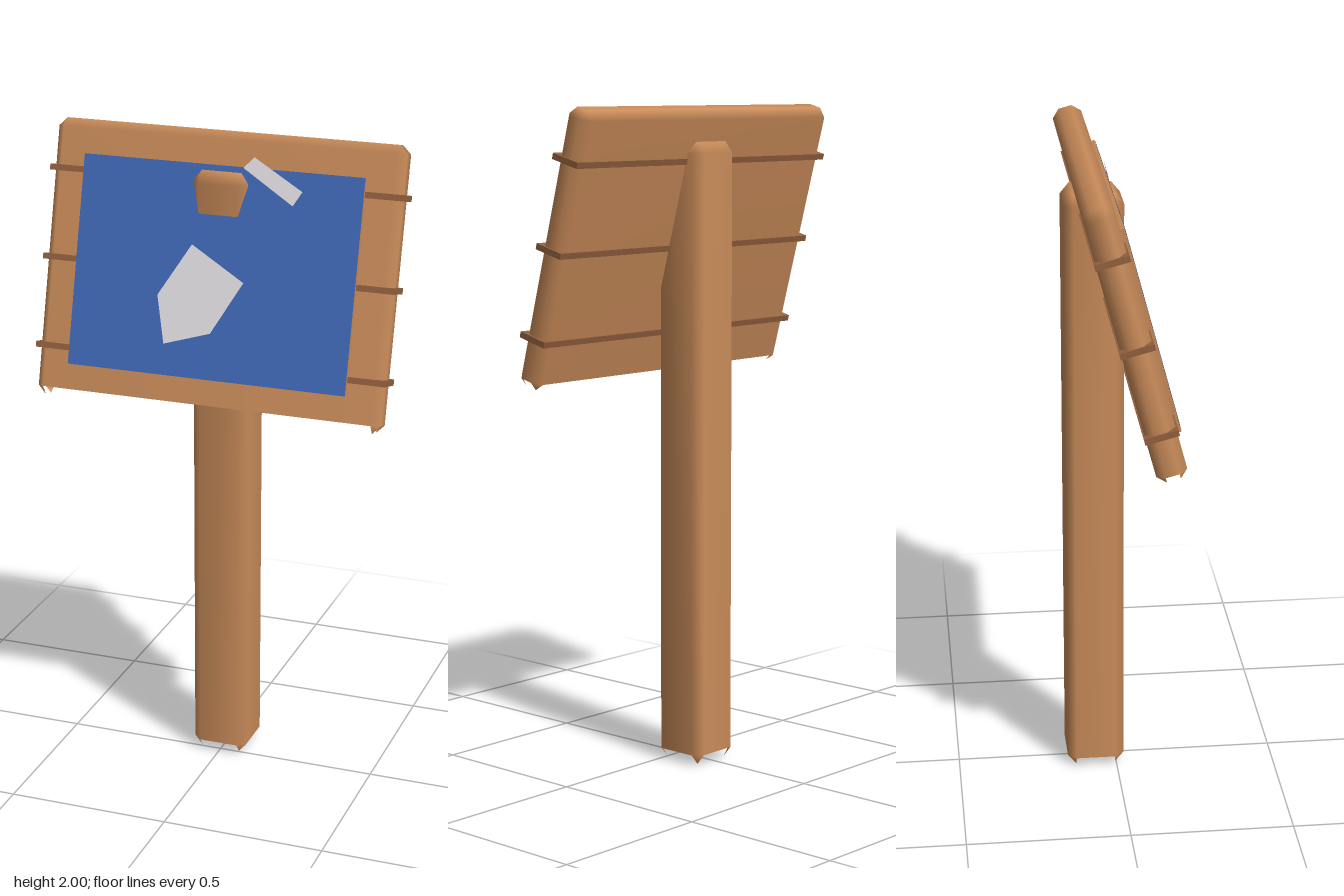
import * as THREE from 'three';

// Box with cut edges and shared vertices for soft shading; openBottom leaves out the underside
// but keeps the small corner triangles.
function bevelBox(hx, hy, hz, bevel, openBottom) {
  const half = [hx, hy, hz], pos = [], index = [];
  for (let o = 0; o < 8; o++) {
    for (let a = 0; a < 3; a++) {
      for (let k = 0; k < 3; k++) {
        pos.push((o >> k & 1 ? 1 : -1) * (k === a ? half[k] : half[k] - bevel[k]));
      }
    }
  }
  const point = (i) => new THREE.Vector3().fromArray(pos, i * 3);
  const tri = (a, b, c) => {
    const [p, q, r] = [a, b, c].map(point);
    const normal = q.clone().sub(p).cross(r.clone().sub(p));
    if (normal.dot(p.add(q).add(r)) < 0) index.push(a, c, b);
    else index.push(a, b, c);
  };
  const quad = (a, b, c, d) => { tri(a, b, c); tri(a, c, d); };
  for (let a = 0; a < 3; a++) {
    const b = (a + 1) % 3, c = (a + 2) % 3, B = 1 << b, C = 1 << c;
    // flat sides
    for (const s of [0, 1 << a]) {
      if (openBottom && a === 1 && s === 0) continue;
      quad(s * 3 + a, (s | B) * 3 + a, (s | B | C) * 3 + a, (s | C) * 3 + a);
    }
    // edge strips running along axis a
    for (const s of [0, B, C, B | C]) {
      if (openBottom && a !== 1 && !(s & 2)) continue;
      const e = s | (1 << a);
      quad(s * 3 + b, s * 3 + c, e * 3 + c, e * 3 + b);
    }
  }
  for (let o = 0; o < 8; o++) tri(o * 3, o * 3 + 1, o * 3 + 2);
  const geo = new THREE.BufferGeometry();
  geo.setAttribute('position', new THREE.Float32BufferAttribute(pos, 3));
  geo.setIndex(index);
  geo.computeVertexNormals();
  return geo;
}

function material(name, color) {
  const m = new THREE.MeshStandardMaterial({ color, side: THREE.DoubleSide });
  m.name = name;
  return m;
}

export function createModel() {
  const model = new THREE.Group();
  model.name = 'noticeBoard';
  const wood = material('wood', 0xc98b59);
  const darkWood = material('dark wood', 0x93613f);
  const blue = material('blue', 0x3f68b8);
  const white = material('paper white', 0xe4e2e6);

  function add(parent, name, geo, mat, x = 0, y = 0, z = 0) {
    const mesh = new THREE.Mesh(geo, mat);
    mesh.name = name;
    mesh.position.set(x, y, z);
    parent.add(mesh);
    return mesh;
  }

  // Upright post, pushed through the board near its top
  add(model, 'post', bevelBox(0.088, 0.947, 0.089, [0.027, 0.033, 0.027], true), wood, 0, 0.947, -0.066);

  // Board and everything on it lean back together
  const tilt = THREE.MathUtils.degToRad(15);
  const centreY = 1.59;
  const sign = new THREE.Group();
  sign.name = 'tiltedBoard';
  sign.position.set(0, centreY, 0.0085);
  sign.rotation.x = -tilt;
  model.add(sign);
  add(sign, 'board', bevelBox(0.543, 0.419, 0.0455, [0.025, 0.025, 0.025], true), wood);

  // Straps wrapped round the board
  for (const y of [-0.268, 0, 0.268]) {
    add(sign, 'strap', new THREE.BoxGeometry(1.1, 0.018, 0.101), darkWood, 0, y, 0);
  }

  // Raised panel with a blue face
  add(sign, 'panel', new THREE.BoxGeometry(0.874, 0.632, 0.03), wood, 0, 0, 0.0445);
  add(sign, 'panelFace', new THREE.PlaneGeometry(0.874, 0.632), blue, 0, 0, 0.0605);

  // Paper scraps: outlines as seen from the front, laid onto the leaning panel
  const paperZ = 0.0635;
  const scrap = (name, points) => {
    const shape = new THREE.Shape(points.map(([x, y]) => new THREE.Vector2(
      x, (y - centreY - paperZ * Math.sin(tilt)) / Math.cos(tilt))));
    add(sign, name, new THREE.ShapeGeometry(shape), white, 0, 0, paperZ);
  };
  scrap('largePaper', [[-0.072, 1.682], [-0.167, 1.529], [-0.135, 1.391], [0.008, 1.434], [0.098, 1.587]]);
  scrap('paperStrip', [[0.098, 1.942], [0.066, 1.91], [0.227, 1.815], [0.253, 1.857]]);

  return model;
}
